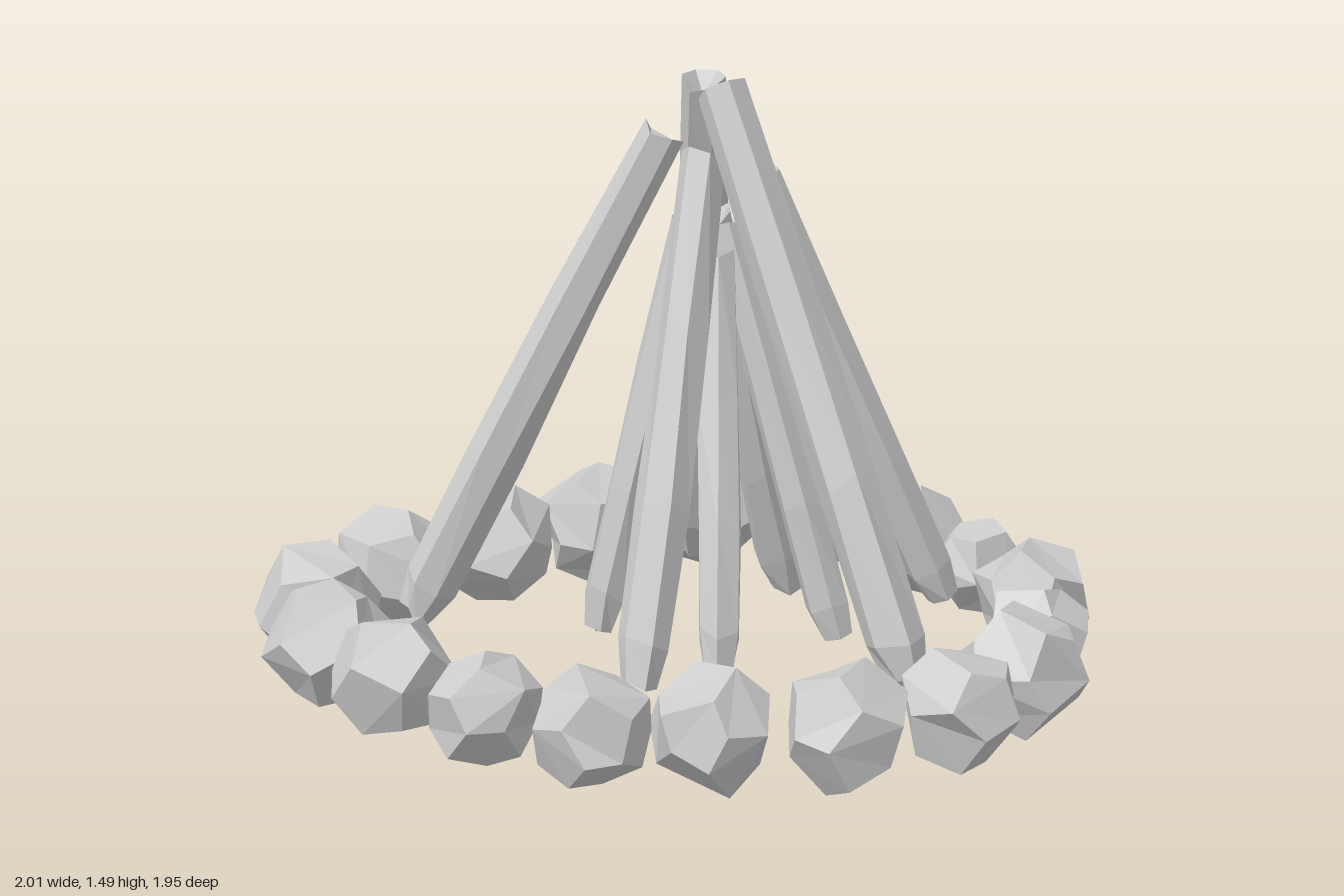
import * as THREE from 'three';

const material = new THREE.MeshStandardMaterial({ color: 0xcccccc, flatShading: true, side: THREE.DoubleSide });

// Repeatable noise in -1..1 from a position and seed, so shared corners move together
function noise(v, seed) {
  const q = (n) => Math.round(n * 1000) / 1000;
  const s = Math.sin(q(v.x) * 127.1 + q(v.y) * 311.7 + q(v.z) * 74.7 + seed * 19.19) * 43758.5453;
  return (s - Math.floor(s)) * 2 - 1;
}

function deform(geometry, rule) {
  const p = geometry.attributes.position;
  const v = new THREE.Vector3();
  for (let i = 0; i < p.count; i++) {
    v.fromBufferAttribute(p, i);
    rule(v);
    p.setXYZ(i, v.x, v.y, v.z);
  }
  geometry.computeVertexNormals();
  return geometry;
}

// Faceted stone: a slightly irregular dodecahedron
function makeStone([x, z, r], i) {
  const geometry = deform(new THREE.DodecahedronGeometry(1, 0), (v) => {
    const o = v.clone();
    v.x += noise(o, i) * 0.09;
    v.y += noise(o, i + 31) * 0.09;
    v.z += noise(o, i + 67) * 0.09;
  });
  const stone = new THREE.Mesh(geometry, material);
  stone.name = `stone${i + 1}`;
  stone.rotation.set(i * 1.7, i * 2.3, i * 0.9);
  stone.scale.setScalar(r * 1.06);
  stone.position.set(x, 0.157, z);
  return stone;
}

// Six-sided log: blunt foot, slight taper and a hollowed, ragged upper end
function makeLog([x0, y0, z0, x1, y1, z1, r], i) {
  const foot = new THREE.Vector3(x0, y0, z0);
  const axis = new THREE.Vector3(x1, y1, z1).sub(foot);
  const L = axis.length();
  const profile = [
    [0, 0], [0.68 * r, 0], [r, 0.09], [1.02 * r, 0.33 * L], [0.95 * r, 0.66 * L], [0.85 * r, L], [0, L - 0.05],
  ].map(([a, b]) => new THREE.Vector2(a, b));
  const geometry = deform(new THREE.LatheGeometry(profile, 6, i), (v) => {
    const o = v.clone();
    const rim = Math.hypot(o.x, o.z) > 0.01 ? 1 : 0;
    v.x += noise(o, i) * r * 0.09 * rim;
    v.z += noise(o, i + 43) * r * 0.09 * rim;
    v.y += noise(o, i + 71) * 0.018 * rim;
  });
  const log = new THREE.Mesh(geometry, material);
  log.name = `log${i + 1}`;
  log.position.copy(foot);
  log.quaternion.setFromUnitVectors(new THREE.Vector3(0, 1, 0), axis.normalize());
  return log;
}

export function createModel() {
  const model = new THREE.Group();
  model.name = 'campfire';

  // Ring of stones: x, z, radius
  const stones = [
    [-0.50, -0.74, 0.15], [-0.21, -0.83, 0.135], [0.085, -0.825, 0.147], [0.35, -0.72, 0.118],
    [0.60, -0.56, 0.138], [0.75, -0.31, 0.128], [0.85, -0.065, 0.147], [0.86, 0.24, 0.138],
    [0.71, 0.49, 0.138], [0.48, 0.67, 0.134], [0.26, 0.81, 0.134], [-0.02, 0.84, 0.128],
    [-0.31, 0.81, 0.147], [-0.60, 0.70, 0.147], [-0.81, 0.495, 0.155], [-0.845, 0.16, 0.155],
    [-0.78, -0.17, 0.155], [-0.685, -0.49, 0.147],
  ];
  const ring = new THREE.Group();
  ring.name = 'stoneRing';
  stones.forEach((s, i) => ring.add(makeStone(s, i)));

  // Leaning logs: foot x y z, top x y z, radius
  const logs = [
    [-0.61, 0.14, 0.37, -0.10, 1.34, 0.03, 0.066],
    [-0.38, 0.14, -0.53, -0.05, 1.46, -0.07, 0.066],
    [0.66, 0.15, 0.13, 0.07, 1.46, 0.03, 0.07],
    [0.40, 0.14, -0.47, 0.06, 1.24, -0.13, 0.06],
    [0.12, 0.12, 0.44, 0.03, 1.31, 0.04, 0.062],
    [-0.01, 0.13, -0.38, -0.02, 1.13, -0.06, 0.06],
    [0.32, 0.13, -0.10, 0.02, 1.12, -0.06, 0.055],
    [-0.33, 0.13, -0.08, -0.08, 1.10, -0.05, 0.056],
    [-0.19, 0.13, 0.18, -0.06, 1.12, -0.02, 0.052],
    [0.24, 0.13, 0.29, 0.04, 1.05, 0.0, 0.055],
  ];
  const pile = new THREE.Group();
  pile.name = 'logPile';
  logs.forEach((l, i) => pile.add(makeLog(l, i)));

  model.add(ring, pile);
  return model;
}
